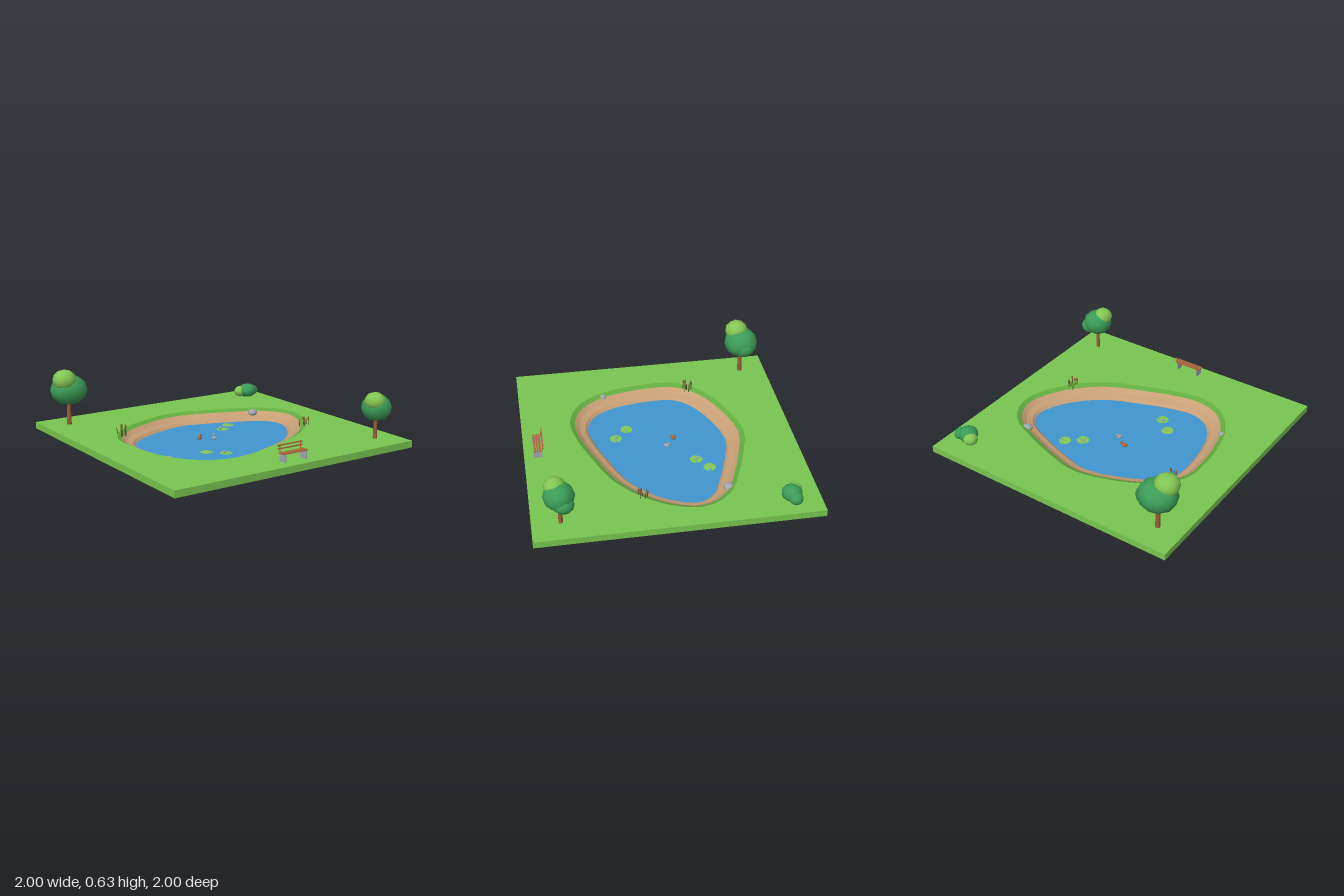
import * as THREE from 'three';

const mat = (name, color, side = THREE.FrontSide) => {
  const m = new THREE.MeshStandardMaterial({ color, side });
  m.name = name;
  return m;
};
const N = 108;
const WATER_Y = 0.12;
const LAWN_Y = 0.196;

// Closed smooth ring of [x, z] points
function ring(pts) {
  const c = new THREE.CatmullRomCurve3(pts.map(([x, z]) => new THREE.Vector3(x, 0, z)), true);
  c.arcLengthDivisions = 800;
  return c.getSpacedPoints(N).slice(0, N).map(p => [p.x, p.z]);
}

// Push a ring outwards along its normals
function offset(r, d) {
  return r.map(([x, z], i) => {
    const a = r[(i + N - 1) % N], b = r[(i + 1) % N];
    const tx = b[0] - a[0], tz = b[1] - a[1], l = Math.hypot(tx, tz);
    return [x + d * tz / l, z - d * tx / l];
  });
}

// Smooth band between two rings at two heights
function band(a, ya, b, yb) {
  const pos = [], idx = [];
  for (let i = 0; i < N; i++) {
    pos.push(a[i][0], ya, a[i][1], b[i][0], yb, b[i][1]);
    const p = 2 * i, q = 2 * ((i + 1) % N);
    idx.push(p, p + 1, q, p + 1, q + 1, q);
  }
  const g = new THREE.BufferGeometry();
  g.setAttribute('position', new THREE.Float32BufferAttribute(pos, 3));
  g.setIndex(idx);
  g.computeVertexNormals();
  return g;
}

const toShapePts = r => r.map(([x, z]) => new THREE.Vector2(x, -z));

export function createModel() {
  const root = new THREE.Group();
  root.name = 'pondGarden';

  const grass = mat('grass', 0x78c650, THREE.DoubleSide);
  const grassEdge = mat('grassEdge', 0x62ac40);
  const sand = mat('sand', 0xc89f76);
  const water = mat('water', 0x4096d0, THREE.DoubleSide);
  const stone = mat('stone', 0xa2a6ae);
  const leaf = mat('leaf', 0x3c9d57);
  const leafLight = mat('leafLight', 0x84c854);
  const bark = mat('bark', 0x976038);
  const benchWood = mat('benchWood', 0xb0673c);
  const reed = mat('reed', 0x56622f);

  const add = (parent, name, geo, material, x = 0, y = 0, z = 0) => {
    const m = new THREE.Mesh(geo, material);
    m.name = name;
    m.position.set(x, y, z);
    parent.add(m);
    return m;
  };
  const group = (name, x = 0, y = 0, z = 0) => {
    const g = new THREE.Group();
    g.name = name;
    g.position.set(x, y, z);
    root.add(g);
    return g;
  };
  const ball = (parent, name, material, x, y, z, rx, ry = rx, rz = rx) => {
    const m = add(parent, name, new THREE.IcosahedronGeometry(1, 1), material, x, y, z);
    m.scale.set(rx, ry, rz);
    return m;
  };

  // Pond outlines
  const shore = ring([[0, -0.51], [0.2, -0.465], [0.45, -0.375], [0.62, -0.29], [0.69, -0.17],
    [0.66, -0.04], [0.56, 0.12], [0.38, 0.28], [0.1, 0.4], [-0.1, 0.467], [-0.28, 0.498],
    [-0.42, 0.45], [-0.52, 0.32], [-0.57, 0.15], [-0.592, -0.05], [-0.58, -0.2],
    [-0.48, -0.33], [-0.25, -0.45]]);
  const hole = ring([[0, -0.26], [0.15, -0.255], [0.38, -0.18], [0.48, -0.125], [0.4, 0],
    [0.19, 0.18], [-0.1, 0.265], [-0.32, 0.3], [-0.37, 0.1], [-0.38, -0.107], [-0.2, -0.2]]);
  const rim = offset(shore, 0.134);

  // Lawn sheet with pond opening, and a skirt around its edge
  const lawn = new THREE.Shape([[-1, -1], [1, -1], [1, 1], [-1, 1]].map(p => new THREE.Vector2(...p)));
  lawn.holes.push(new THREE.Path(toShapePts(rim)));
  add(root, 'lawn', new THREE.ShapeGeometry(lawn).rotateX(-Math.PI / 2), grass, 0, LAWN_Y, 0);
  for (let i = 0; i < 4; i++) {
    const side = new THREE.PlaneGeometry(2, 0.05).translate(0, 0, 1).rotateY(i * Math.PI / 2);
    add(root, 'lawnSkirt', side, grass, 0, LAWN_Y - 0.025, 0);
  }

  // Stepped bank
  const mid = offset(shore, 0.098), step = offset(shore, 0.063), ledge = offset(shore, 0.02);
  add(root, 'grassSlope', band(rim, LAWN_Y, mid, 0.178), grassEdge);
  add(root, 'upperBank', band(mid, 0.178, step, 0.153), sand);
  add(root, 'bankLedge', band(step, 0.153, ledge, 0.14), sand);
  add(root, 'lowerBank', band(ledge, 0.14, shore, WATER_Y), sand);
  add(root, 'pondBed', band(shore, WATER_Y, hole, 0.03), sand);

  // Basin shell
  add(root, 'basinWall', band(rim, 0, rim, LAWN_Y), stone);
  add(root, 'basinBottom', band(hole, 0, rim, 0), stone);
  add(root, 'basinLip', band(hole, 0.03, hole, 0), stone);

  add(root, 'water', new THREE.ShapeGeometry(new THREE.Shape(toShapePts(shore)))
    .rotateX(-Math.PI / 2), water, 0, WATER_Y, 0);

  // Lily pads with a notch, some with a bud
  [[0.21, -0.245, 1], [0.315, -0.325, 0], [-0.24, 0.21, 0], [-0.135, 0.305, 1]].forEach(([x, z, bud]) => {
    const g = group('lilyPad', x, WATER_Y + 0.005, z);
    add(g, 'pad', new THREE.CircleGeometry(0.046, 20, 0.12, Math.PI * 2 - 0.24).rotateX(-Math.PI / 2), leafLight);
    if (bud) ball(g, 'bud', stone, -0.013, 0.008, -0.008, 0.012);
  });

  // Ducks
  [[-0.08, -0.123, 0.5, benchWood], [0.01, -0.06, 1.1, stone]].forEach(([x, z, turn, m]) => {
    const g = group('duck', x, WATER_Y + 0.008, z);
    g.rotation.y = turn;
    ball(g, 'body', m, 0, 0, 0, 0.025, 0.015, 0.017);
    ball(g, 'head', m, 0.018, 0.02, 0, 0.011);
    const beak = add(g, 'beak', new THREE.ConeGeometry(0.004, 0.012, 6), benchWood, 0.031, 0.019, 0);
    beak.rotation.z = -Math.PI / 2;
  });

  // Rocks, partly sunk into the bank
  [[0.61, -0.4, 0.042], [-0.635, 0.34, 0.034], [0.28, 0.62, 0.03]].forEach(([x, z, r]) => {
    const m = add(root, 'rock', new THREE.DodecahedronGeometry(1, 1), stone, x, 0.167, z);
    m.scale.set(r, 0.028, r * 0.85);
    m.rotation.y = x;
  });

  // Reeds
  const stems = [[-0.025, -0.03, 0.05], [-0.012, 0.012, 0.068], [0.006, -0.015, 0.045], [0.018, 0.022, 0.07],
    [0.027, -0.008, 0.05], [-0.022, 0.028, 0.06], [0, 0.005, 0.04], [0.012, -0.03, 0.062]];
  [[-0.62, -0.332, 0.196], [0.648, 0.215, 0.188]].forEach(([x, z, y], k) => {
    const g = group('reeds', x, y, z);
    stems.forEach(([sx, sz, h], i) => {
      const low = k && i % 2 ? -0.065 : -0.02;
      const s = add(g, 'stem', new THREE.CylinderGeometry(0.0025, 0.004, h - low, 5), reed, sx, (h + low) / 2, sz);
      s.rotation.z = (i - 3.5) * -0.04;
      if (i % 2) add(g, 'seedHead', new THREE.CylinderGeometry(0.006, 0.006, 0.024, 6), bark, sx, h - 0.012, sz);
    });
  });

  // Trees: trunk plus crown balls [material, x, y, z, rx, ry, rz]
  const plant = (name, trunk, crowns) => {
    const g = group(name);
    if (trunk) {
      const [x, z, top, r] = trunk;
      add(g, 'trunk', new THREE.CylinderGeometry(r * 0.75, r, top - 0.19, 8), bark, x, (top + 0.19) / 2, z);
    }
    crowns.forEach(c => ball(g, 'crown', ...c));
  };
  plant('largeTree', [-0.815, -0.8, 0.4, 0.019], [
    [leaf, -0.81, 0.462, -0.8, 0.143, 0.115, 0.133],
    [leaf, -0.738, 0.445, -0.812, 0.08, 0.068, 0.08],
    [leafLight, -0.858, 0.548, -0.77, 0.09, 0.08, 0.09]]);
  plant('smallTree', [0.825, 0.8, 0.37, 0.016], [
    [leaf, 0.827, 0.425, 0.802, 0.113, 0.1, 0.11],
    [leaf, 0.88, 0.39, 0.777, 0.074, 0.062, 0.074],
    [leafLight, 0.79, 0.48, 0.825, 0.076, 0.068, 0.076]]);
  plant('bush', null, [
    [leaf, 0.838, 0.248, -0.79, 0.074, 0.058, 0.074],
    [leaf, 0.893, 0.24, -0.805, 0.052, 0.044, 0.052],
    [leafLight, 0.792, 0.24, -0.82, 0.056, 0.046, 0.054]]);

  // Bench
  const bench = group('bench', 0, 0.196, 0.89);
  for (const s of [-1, 1]) {
    add(bench, 'benchLeg', new THREE.BoxGeometry(0.008, 0.058, 0.064), stone, s * 0.088, 0.029, 0.008);
    const post = add(bench, 'backPost', new THREE.BoxGeometry(0.006, 0.06, 0.005), benchWood, s * 0.088, 0.083, -0.026);
    post.rotation.x = -0.12;
  }
  for (let i = 0; i < 3; i++)
    add(bench, 'seatSlat', new THREE.BoxGeometry(0.21, 0.007, 0.015), benchWood, 0, 0.061, -0.01 + i * 0.019);
  for (const y of [0.085, 0.108])
    add(bench, 'backSlat', new THREE.BoxGeometry(0.21, 0.008, 0.008), benchWood, 0, y, -0.028 - (y - 0.083) * 0.12);

  return root;
}
